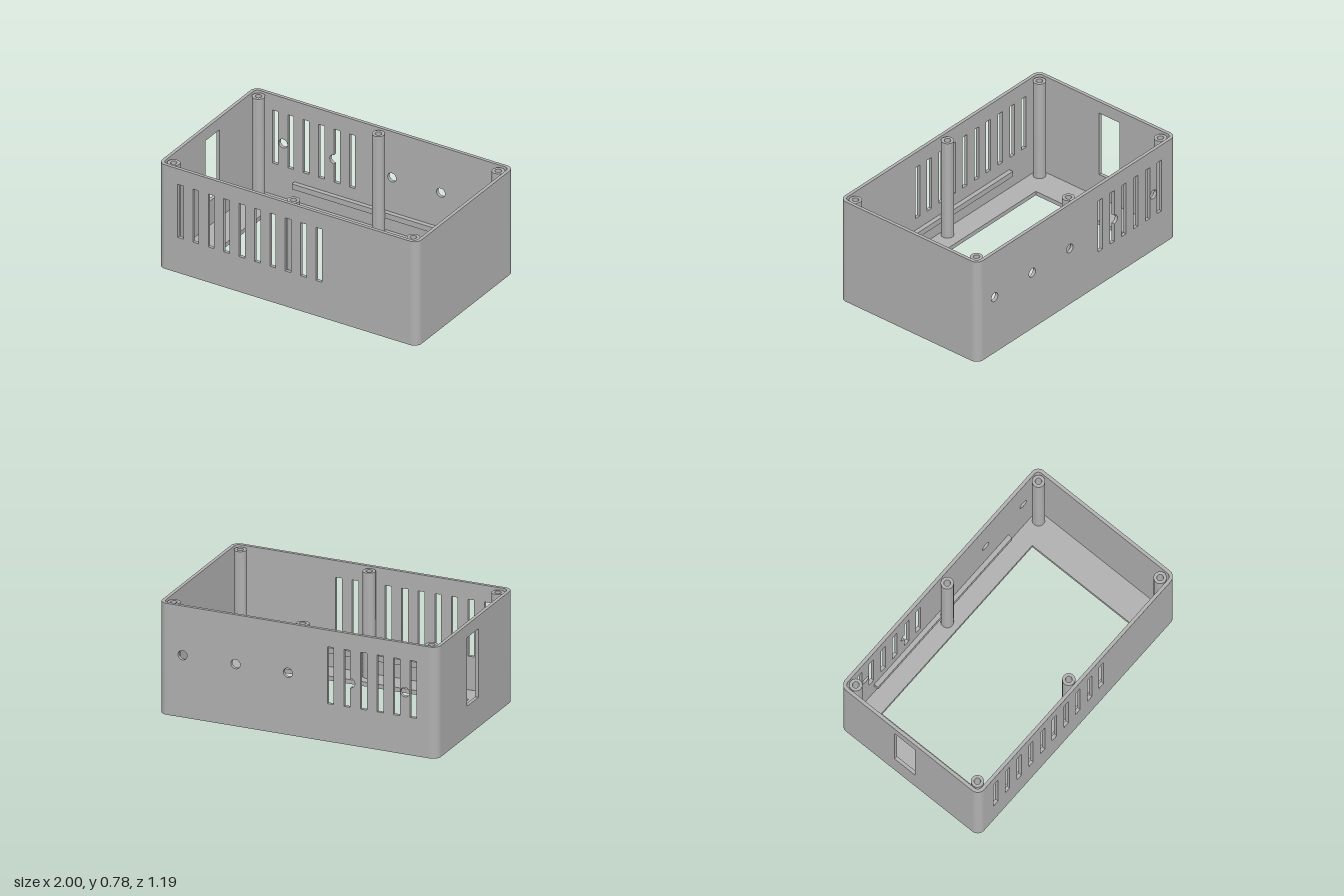
import * as THREE from 'three';
import { toCreasedNormals } from 'three/addons/utils/BufferGeometryUtils.js';

const H = 0.78, X = 1, Z = 0.593;   // height, half width, half depth
const T = 0.024, FLOOR = 0.03, R = 0.055; // wall, floor thickness, corner radius

const rect = (C, x0, y0, x1, y1) => {
  const p = new C();
  p.moveTo(x0, y0).lineTo(x1, y0).lineTo(x1, y1).lineTo(x0, y1).closePath();
  return p;
};

const circle = (x, y, r) => {
  const p = new THREE.Path();
  p.absarc(x, y, r, 0, Math.PI * 2);
  return p;
};

const extrude = (shape, depth) => toCreasedNormals(
  new THREE.ExtrudeGeometry(shape, { depth, bevelEnabled: false, curveSegments: 12 }), 0.6);

export function createModel() {
  const model = new THREE.Group();
  model.name = 'enclosure';
  const grey = new THREE.MeshStandardMaterial({ color: 0xb0b0b0 });
  grey.name = 'grey plastic';

  const add = (name, geometry, x = 0, y = 0, z = 0, turn = 0) => {
    const mesh = new THREE.Mesh(geometry, grey);
    mesh.name = name;
    mesh.position.set(x, y, z);
    mesh.rotation.y = turn;
    model.add(mesh);
  };

  const wall = (half, holes) => {
    const shape = rect(THREE.Shape, -half, FLOOR, half, H);
    shape.holes.push(...holes);
    return extrude(shape, T);
  };

  // Ventilation slots
  const slotX = i => -0.827 + i * 0.1188;
  const SW = 0.0225, S0 = 0.265, S1 = 0.663;
  const slot = i => rect(THREE.Path, slotX(i) - SW, S0, slotX(i) + SW, S1);

  // Front wall: ten slots
  add('frontWall', wall(X - R, Array.from({ length: 10 }, (_, i) => slot(i))), 0, 0, Z - T);

  // Back wall: six slots and five round holes, one of which runs into a slot
  const holeY = 0.435, holeR = 0.033;
  const notched = new THREE.Path();
  const left = slotX(4) - SW, right = slotX(4) + SW;
  notched.moveTo(left, S0).lineTo(right, S0).lineTo(right, S1).lineTo(left, S1)
    .lineTo(left, holeY + holeR);
  notched.absarc(left, holeY, holeR, Math.PI / 2, Math.PI * 1.5, false);
  notched.closePath();
  add('backWall', wall(X - R, [
    ...[0, 1, 2, 3, 5].map(slot), notched,
    ...[-0.767, 0.073, 0.45, 0.83].map(x => circle(x, holeY, holeR)),
  ]), 0, 0, -Z);

  // Side walls: one has a tall window
  add('leftWall', wall(Z - R, []), X, 0, 0, -Math.PI / 2);
  add('rightWall', wall(Z - R, [rect(THREE.Path, -0.125, 0.21, 0.05, 0.69)]),
    -X + T, 0, 0, -Math.PI / 2);

  // Rounded corners
  const quarter = new THREE.Shape();
  quarter.absarc(0, 0, R, 0, Math.PI / 2, false);
  quarter.absarc(0, 0, R - T, Math.PI / 2, 0, true);
  quarter.closePath();
  const corner = extrude(quarter, H - FLOOR).rotateX(-Math.PI / 2);
  [[1, -1], [-1, -1], [-1, 1], [1, 1]].forEach(([sx, sz], i) =>
    add('corner', corner, sx * (X - R), FLOOR, sz * (Z - R), i * Math.PI / 2));

  // Floor frame with a large opening
  const base = new THREE.Shape();
  base.absarc(X - R, Z - R, R, 0, Math.PI / 2, false);
  base.absarc(R - X, Z - R, R, Math.PI / 2, Math.PI, false);
  base.absarc(R - X, R - Z, R, Math.PI, Math.PI * 1.5, false);
  base.absarc(X - R, R - Z, R, Math.PI * 1.5, Math.PI * 2, false);
  base.closePath();
  base.holes.push(rect(THREE.Path, -0.763, -0.412, 0.763, 0.436));
  add('floor', extrude(base, FLOOR).rotateX(-Math.PI / 2));

  // Screw posts with blind holes, and a rail along each long wall
  const profile = [[0.043, FLOOR], [0.043, 0.768], [0.022, 0.768], [0.022, 0.5], [0, 0.5]];
  const post = toCreasedNormals(
    new THREE.LatheGeometry(profile.map(p => new THREE.Vector2(...p)), 28), 0.6);
  const rail = new THREE.BoxGeometry(1.36, 0.04, 0.036);
  for (const side of [-1, 1]) {
    for (const x of [-0.925, 0, 0.925]) add('screwPost', post, x, 0, side * 0.519);
    add('rail', rail, 0, 0.155, side * 0.555);
  }
  return model;
}
